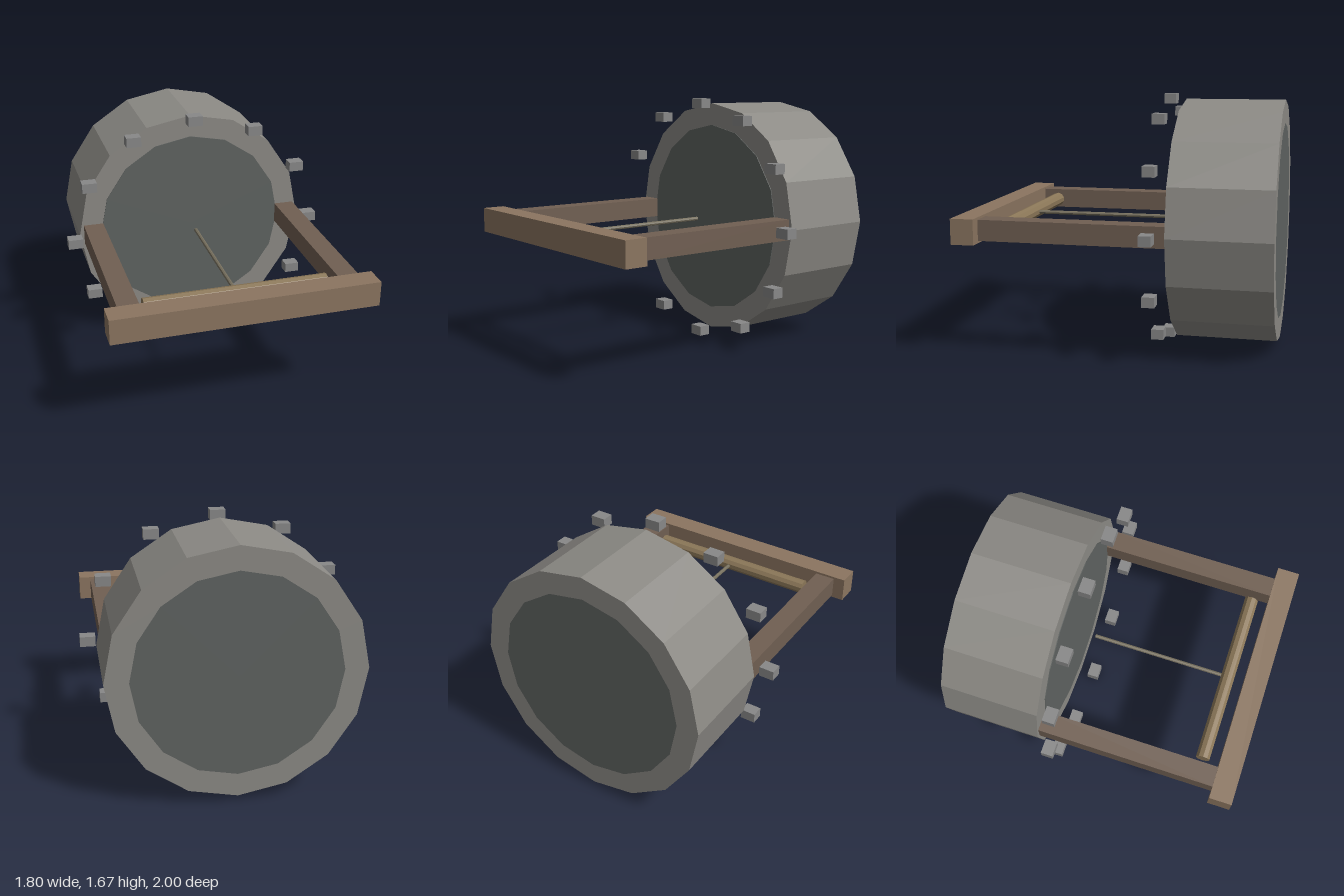
import * as THREE from 'three';

const CY = 0.835; // height of the common axis

const paint = (color) => new THREE.MeshStandardMaterial({ color, flatShading: true });

export function createModel() {
  const model = new THREE.Group();
  const add = (name, geometry, material, x, y, z) => {
    const mesh = new THREE.Mesh(geometry, material);
    mesh.name = name;
    mesh.position.set(x, y, z);
    model.add(mesh);
    return mesh;
  };
  const shellGrey = paint(0x8c8a85);
  const coreGrey = paint(0x5f6361);
  const blockGrey = paint(0x888888);
  const barBrown = paint(0x8b7560);
  const armBrown = paint(0x705f52);
  const handleBrown = paint(0x8b7758);
  const rodGrey = paint(0x77705e);

  // Sixteen-sided drum: outer shell with ring-shaped ends
  const profile = [[0.65, -0.3275], [0.8, -0.3275], [0.8, 0.3275], [0.65, 0.3275]]
    .map(([r, y]) => new THREE.Vector2(r, y));
  const shell = new THREE.LatheGeometry(profile, 16).rotateX(Math.PI / 2);
  add('drumShell', shell, shellGrey, 0, CY, -0.6725);

  // Core disc filling the drum, just proud of the front
  const core = new THREE.CylinderGeometry(0.65, 0.65, 0.66, 16).rotateX(Math.PI / 2);
  add('drumCore', core, coreGrey, 0, CY, -0.67);

  // Ring of twelve upright blocks in front of the drum
  const block = new THREE.BoxGeometry(0.1, 0.066, 0.08);
  for (let i = 0; i < 12; i++) {
    const a = (i * Math.PI) / 6;
    add('ringBlock' + (i + 1), block, blockGrey, 0.85 * Math.cos(a), CY + 0.802 * Math.sin(a), -0.243);
  }

  // Two arms joined by the front crossbar
  for (const side of [1, -1]) {
    add(side > 0 ? 'leftArm' : 'rightArm', new THREE.BoxGeometry(0.136, 0.135, 1.21),
      armBrown, side * 0.702, CY + 0.002, 0.25);
  }
  add('crossbar', new THREE.BoxGeometry(1.7, 0.165, 0.15), barBrown, 0, CY + 0.002, 0.925);

  // Handle roller between the arms, with its rod towards the drum
  const handle = new THREE.CylinderGeometry(0.048, 0.048, 1.19, 10).rotateX(Math.PI / 2)
    .rotateY(Math.PI / 2);
  add('handle', handle, handleBrown, 0, CY, 0.737);
  const rod = new THREE.CylinderGeometry(0.013, 0.013, 0.92, 8).rotateX(Math.PI / 2);
  add('rod', rod, rodGrey, 0, CY, 0.25);

  return model;
}
